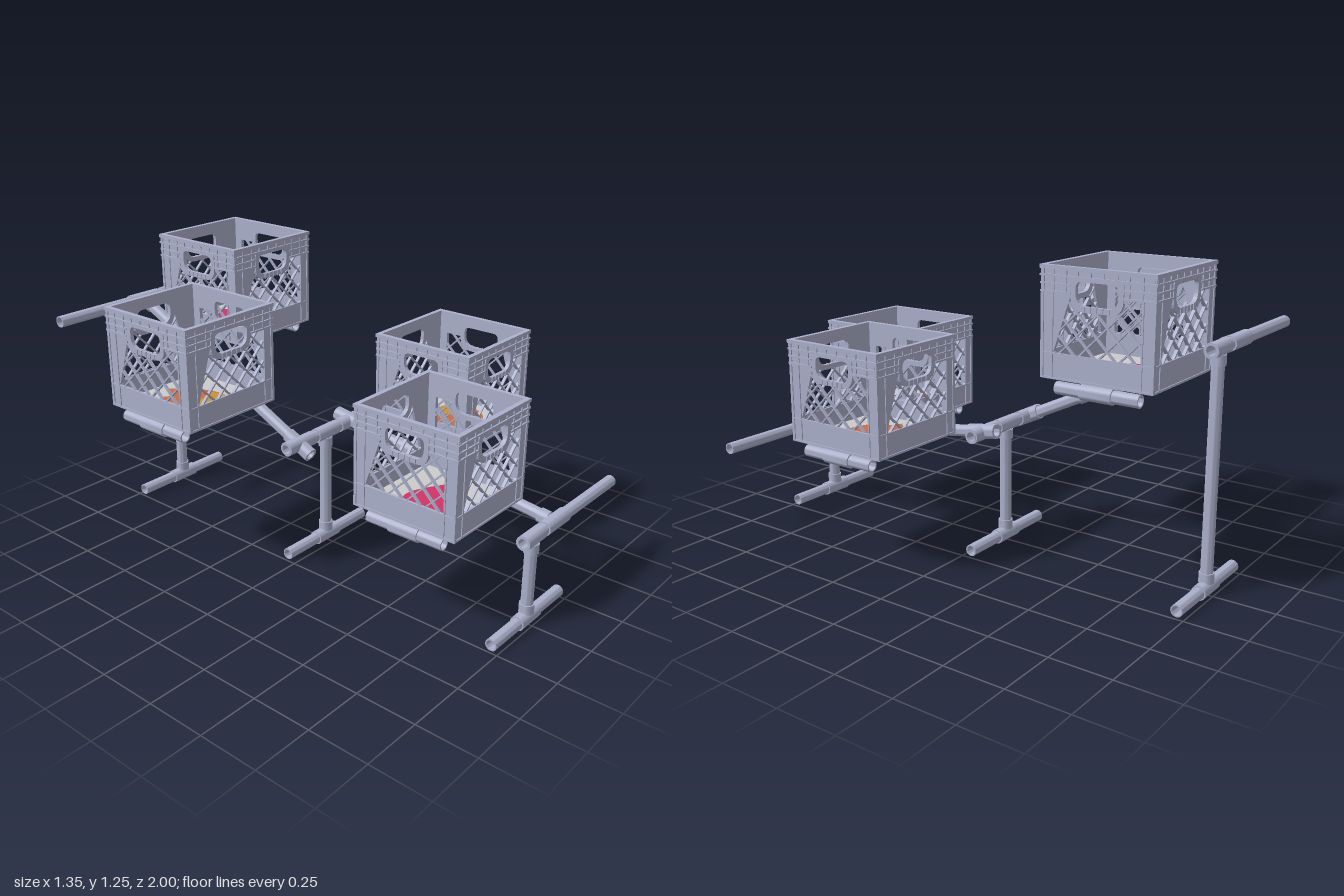
import * as THREE from 'three';
import { mergeGeometries, toCreasedNormals } from 'three/addons/utils/BufferGeometryUtils.js';

const mat = (name, color, side = THREE.FrontSide) => {
  const m = new THREE.MeshStandardMaterial({ color, side });
  m.name = name;
  return m;
};
const plastic = mat('blue grey plastic', 0xabb0cb);
const floorGrey = mat('light grey floor', 0xcccccc, THREE.DoubleSide);
const pink = mat('pink', 0xd03468, THREE.DoubleSide);
const orange = mat('orange', 0xcf6a42, THREE.DoubleSide);
const gold = mat('gold', 0xc89433, THREE.DoubleSide);

const V = (x, y, z) => new THREE.Vector3(x, y, z);
const UP = V(0, 1, 0), X = V(1, 0, 0), Z = V(0, 0, 1);

function mesh(name, geo, material, parent) {
  const m = new THREE.Mesh(geo, material);
  m.name = name;
  parent.add(m);
  return m;
}
const box = (w, h, d, x, y, z) => new THREE.BoxGeometry(w, h, d).translate(x, y, z);

// Hollow pipe between two points
function pipe(name, a, b, parent, r = 0.0245, inner = 0.019) {
  const h = a.distanceTo(b) / 2;
  const profile = [[inner, -h], [r, -h], [r, h], [inner, h], [inner, -h]].map(p => new THREE.Vector2(...p));
  const m = mesh(name, toCreasedNormals(new THREE.LatheGeometry(profile, 20), 0.7), plastic, parent);
  m.position.copy(a).add(b).multiplyScalar(0.5);
  m.quaternion.setFromUnitVectors(UP, b.clone().sub(a).normalize());
}

// Tee fitting: a sleeve along the run plus a branch
function tee(c, run, branch, parent, half = 0.065) {
  const at = (d, s) => c.clone().addScaledVector(d, s);
  pipe('teeSleeve', at(run, -half), at(run, half), parent, 0.03, 0.02);
  pipe('teeBranch', at(branch, 0.022), at(branch, 0.062), parent, 0.03, 0.02);
}

// Crossed diagonal strips kept where inside(x, y) is true
function lattice(w, y0, y1, pitch, depth, inside) {
  const parts = [], step = 0.004;
  for (const s of [1, -1]) {
    for (let k = -w - (y1 - y0); k < w; k += pitch) {
      let start = null;
      for (let t = 0; t <= y1 - y0 + step; t += step) {
        const ok = t <= y1 - y0 && inside(s * (k + t), y0 + t);
        if (ok && start === null) start = t;
        if (!ok && start !== null) {
          const mid = (start + t) / 2, len = (t - start) * Math.SQRT2;
          parts.push(new THREE.BoxGeometry(len, 0.006, depth).rotateZ(s * Math.PI / 4)
            .translate(s * (k + mid), y0 + mid, 0));
          start = null;
        }
      }
    }
  }
  return mergeGeometries(parts);
}

// Rounded rectangle with separate bottom and top radii
function rounded(path, w, y0, y1, rb, rt) {
  path.moveTo(-w + rb, y0);
  path.lineTo(w - rb, y0);
  path.quadraticCurveTo(w, y0, w, y0 + rb);
  path.lineTo(w, y1 - rt);
  path.quadraticCurveTo(w, y1, w - rt, y1);
  path.lineTo(-w + rt, y1);
  path.quadraticCurveTo(-w, y1, -w, y1 - rt);
  path.lineTo(-w, y0 + rb);
  path.quadraticCurveTo(-w, y0, -w + rb, y0);
  return path;
}
const handleHole = () => rounded(new THREE.Path(), 0.085, 0.275, 0.36, 0.045, 0.025);
const extrude = (s, depth, z) => new THREE.ExtrudeGeometry(s, { depth, bevelEnabled: false, curveSegments: 6 }).translate(0, 0, z);

// Side panel with a lattice window and a handle hole
function panelGeometry() {
  const s = new THREE.Shape();
  s.moveTo(-0.225, 0); s.lineTo(0.225, 0); s.lineTo(0.225, 0.405); s.lineTo(-0.225, 0.405); s.closePath();
  const win = new THREE.Path();
  win.moveTo(-0.177, 0.095); win.lineTo(0.177, 0.095); win.lineTo(0.177, 0.315); win.lineTo(0.105, 0.315);
  win.quadraticCurveTo(0.105, 0.255, 0.052, 0.255);
  win.lineTo(-0.052, 0.255);
  win.quadraticCurveTo(-0.105, 0.255, -0.105, 0.315);
  win.closePath();
  s.holes.push(win, handleHole());
  return extrude(s, 0.012, 0.213);
}

// Raised collar round the handle hole, with short ribs
function collarGeometry() {
  const s = rounded(new THREE.Shape(), 0.105, 0.255, 0.37, 0.055, 0.012);
  s.holes.push(handleHole());
  const parts = [extrude(s, 0.01, 0.219).toNonIndexed ? extrude(s, 0.01, 0.219) : null];
  for (const x of [-0.05, -0.025, 0, 0.025, 0.05])
    parts.push(box(0.005, 0.022, 0.016, x, 0.265, 0.2245).toNonIndexed());
  return mergeGeometries(parts);
}

// Rim flanges and ribs for one side
function rimGeometry() {
  const parts = [box(0.465, 0.014, 0.02, 0, 0.403, 0.2225), box(0.465, 0.007, 0.018, 0, 0.374, 0.2225)];
  for (const s of [-1, 1]) {
    for (const y of [0.345, 0.317]) parts.push(box(0.125, 0.007, 0.018, s * 0.1685, y, 0.2225));
    for (const x of [0.125, 0.177, 0.218]) parts.push(box(0.006, 0.09, 0.014, s * x, 0.36, 0.2225));
    for (const x of [0.026, 0.078]) parts.push(box(0.006, 0.03, 0.014, s * x, 0.388, 0.2225));
    parts.push(box(0.006, 0.315, 0.006, s * 0.18, 0.1575, 0.226));
    parts.push(box(0.012, 0.405, 0.012, s * 0.223, 0.2025, 0.223));
  }
  parts.push(box(0.456, 0.006, 0.006, 0, 0.095, 0.226), box(0.456, 0.008, 0.008, 0, 0.004, 0.225));
  return mergeGeometries(parts);
}

// Flat picture lying on the crate floor; points are x, z
function picture(name, pts, y, material, parent) {
  const p = pts.map(([x, z]) => new THREE.Vector2(x, -z));
  const s = new THREE.Shape();
  s.moveTo(p[0].x, p[0].y);
  s.splineThru([...p.slice(1), p[0]]);
  mesh(name, new THREE.ShapeGeometry(s, 48).rotateX(-Math.PI / 2).translate(0, y, 0), material, parent);
}
const DROP = [[0, 0.157], [0.035, 0.12], [0.09, 0.025], [0.113, -0.05], [0.082, -0.132], [0, -0.165],
  [-0.082, -0.132], [-0.113, -0.05], [-0.09, 0.025], [-0.035, 0.12]];
const FLAME = [[0.005, -0.16], [0.05, -0.115], [0.085, -0.06], [0.112, 0.035], [0.09, 0.13], [0.01, 0.168],
  [-0.085, 0.125], [-0.125, 0.035], [-0.108, -0.055], [-0.072, -0.107], [-0.035, -0.085], [-0.02, -0.12]];
const CORE = [[-0.048, 0.09], [-0.018, 0.028], [0.03, 0.03], [0.085, 0.002], [0.103, 0.085], [0.06, 0.155],
  [0.0, 0.165], [-0.04, 0.135]];

const inWindow = (x, y) => Math.abs(x) < 0.18 && y > 0.09 && y < 0.318 && !(Math.abs(x) < 0.095 && y > 0.265);
const inFloor = (x, y) => Math.abs(x) < 0.215 && Math.abs(y) < 0.215;

function makeCrate(parts, flame) {
  const crate = new THREE.Group();
  crate.name = 'crate';
  for (let i = 0; i < 4; i++) {
    const side = new THREE.Group();
    side.name = 'crateSide';
    side.rotation.y = i * Math.PI / 2;
    for (const [name, geo] of Object.entries(parts.side)) mesh(name, geo, plastic, side);
    crate.add(side);
  }
  mesh('floorLattice', parts.floor, plastic, crate);
  mesh('floorPlate', new THREE.PlaneGeometry(0.428, 0.428).rotateX(-Math.PI / 2).translate(0, 0.014, 0), floorGrey, crate);
  if (flame) {
    picture('flame', FLAME, 0.017, orange, crate);
    picture('flameCore', CORE, 0.020, gold, crate);
  } else picture('drop', DROP, 0.017, pink, crate);
  return crate;
}

export function createModel() {
  const model = new THREE.Group();
  model.name = 'crateStand';
  const frame = new THREE.Group();
  frame.name = 'pipeFrame';
  model.add(frame);

  // Legs with a foot bar: z, top height, top bar extents
  for (const [z, h, x0, x1] of [[0.97, 0.375, -0.065, 0.62], [-0.04, 0.515, -0.245, 0.24], [-0.97, 0.955, -0.62, 0.065]]) {
    pipe('footBar', V(-0.245, 0.03, z), V(0.245, 0.03, z), frame);
    pipe('leg', V(0, 0.05, z), V(0, h - 0.02, z), frame);
    pipe('crossBar', V(x0, h, z), V(x1, h, z), frame);
    tee(V(0, 0.03, z), X, UP, frame);
    tee(V(0, h, z), X, V(0, -1, 0), frame);
  }

  // Two sloping rails, joined to the cross bars
  const rails = [[V(0.16, 0.375, 0.97), V(0.16, 0.52, -0.04)], [V(-0.165, 0.955, -0.97), V(-0.165, 0.51, -0.04)]];
  for (const [a, b] of rails) {
    const dir = b.clone().sub(a).normalize();
    const end = b.clone().addScaledVector(dir, 0.07);
    pipe('rail', a.clone().addScaledVector(dir, 0.02), end, frame);
    tee(a, X, dir, frame, 0.078);
    pipe('railSleeve', b.clone().addScaledVector(dir, -0.065), end, frame, 0.03, 0.02);
    pipe('crossSleeve', V(b.x - 0.078, 0.515, b.z), V(b.x + 0.078, 0.515, b.z), frame, 0.03, 0.02);
  }

  const parts = {
    side: {
      panel: panelGeometry(),
      handleCollar: collarGeometry(),
      rim: rimGeometry(),
      sideLattice: lattice(0.18, 0.095, 0.315, 0.082, 0.012, inWindow).translate(0, 0, 0.219),
    },
    floor: lattice(0.215, -0.215, 0.215, 0.075, 0.01, inFloor).rotateX(-Math.PI / 2).translate(0, 0.006, 0),
  };

  // Crates: x, y, z, rail index, flame picture, quarter turn
  const crates = [
    [0.115, 0.84, -0.665, 1, false, 0], [-0.443, 0.7, -0.357, 1, true, 0],
    [0.44, 0.507, 0.29, 0, true, 1], [-0.122, 0.457, 0.63, 0, false, 1],
  ];
  for (const [x, y, z, rail, flame, turn] of crates) {
    const crate = makeCrate(parts, flame);
    crate.position.set(x, y, z);
    crate.rotation.y = turn * Math.PI / 2;
    model.add(crate);

    // Arm from the rail, ending in a bar under the crate
    const [a, b] = rails[rail];
    const s = Math.sign(x - a.x), ay = y - 0.035, out = V(s, 0, 0);
    const end = V(x + s * 0.204, ay, z);
    const root = a.clone().lerp(b, (z - a.z) / (b.z - a.z));
    pipe('arm', V(a.x + s * 0.02, ay, z), end.clone().addScaledVector(out, -0.02), frame);
    tee(root, b.clone().sub(a).normalize(), out, frame);
    pipe('supportBar', end.clone().addScaledVector(Z, -0.17), end.clone().addScaledVector(Z, 0.17), frame);
    tee(end, Z, V(-s, 0, 0), frame);
  }
  return model;
}
